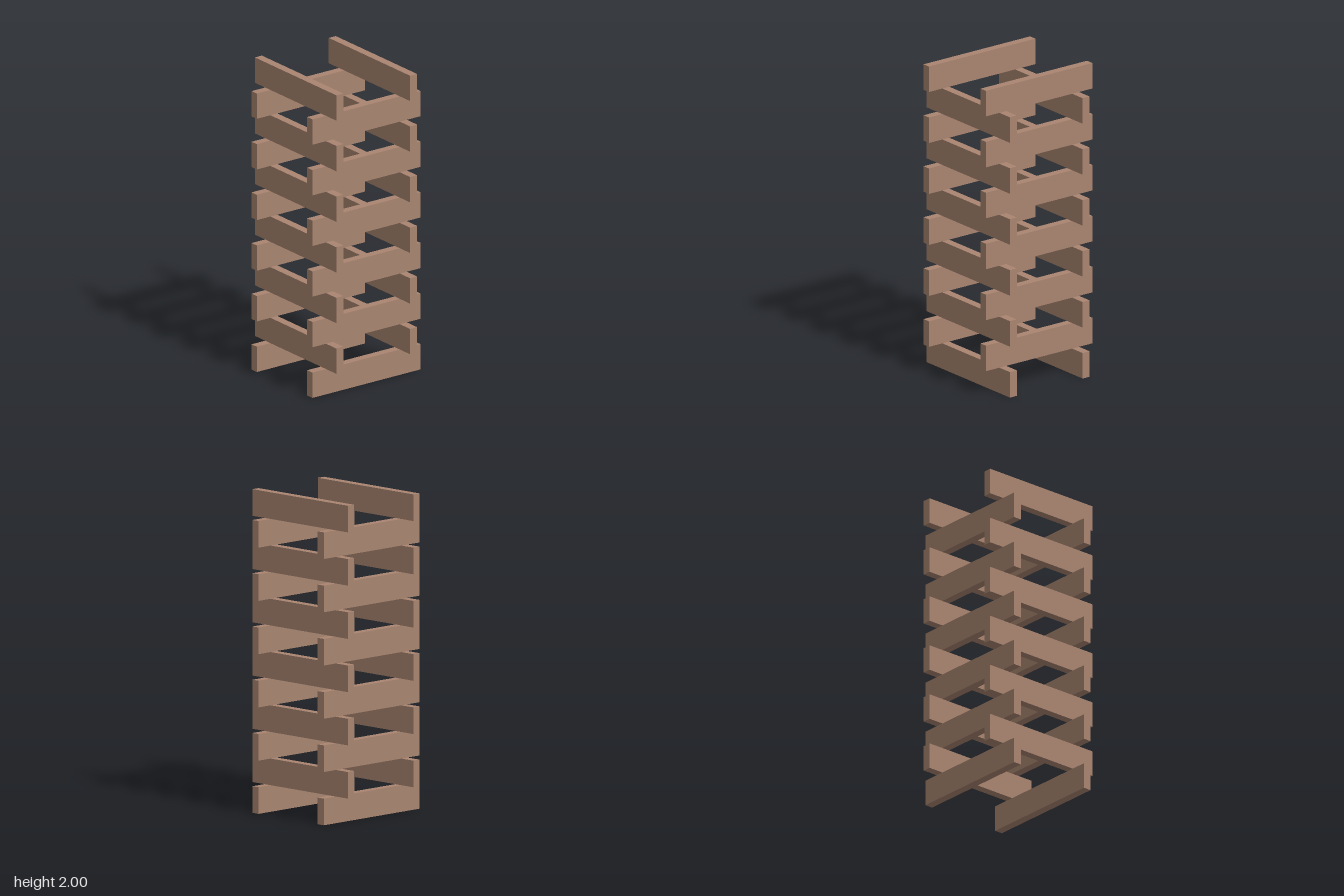
import * as THREE from 'three';

const LAYERS = 12;
const HEIGHT = 2 / LAYERS;
const LENGTH = 0.834;
const THICKNESS = 0.054;
const OFFSET = 0.285;

export function createModel() {
  const model = new THREE.Group();
  model.name = 'plankTower';
  const wood = new THREE.MeshStandardMaterial({ color: 0xa98570, flatShading: true });
  const plank = new THREE.BoxGeometry(LENGTH, HEIGHT, THICKNESS);

  // Stacked pairs of upright planks, each layer turned a quarter from the one below
  for (let i = 0; i < LAYERS; i++) {
    const layer = new THREE.Group();
    layer.name = `layer${i + 1}`;
    layer.position.y = (i + 0.5) * HEIGHT;
    layer.rotation.y = i % 2 ? Math.PI / 2 : 0;
    for (const side of [-1, 1]) {
      const mesh = new THREE.Mesh(plank, wood);
      mesh.name = 'plank';
      mesh.position.z = side * OFFSET;
      layer.add(mesh);
    }
    model.add(layer);
  }
  return model;
}
